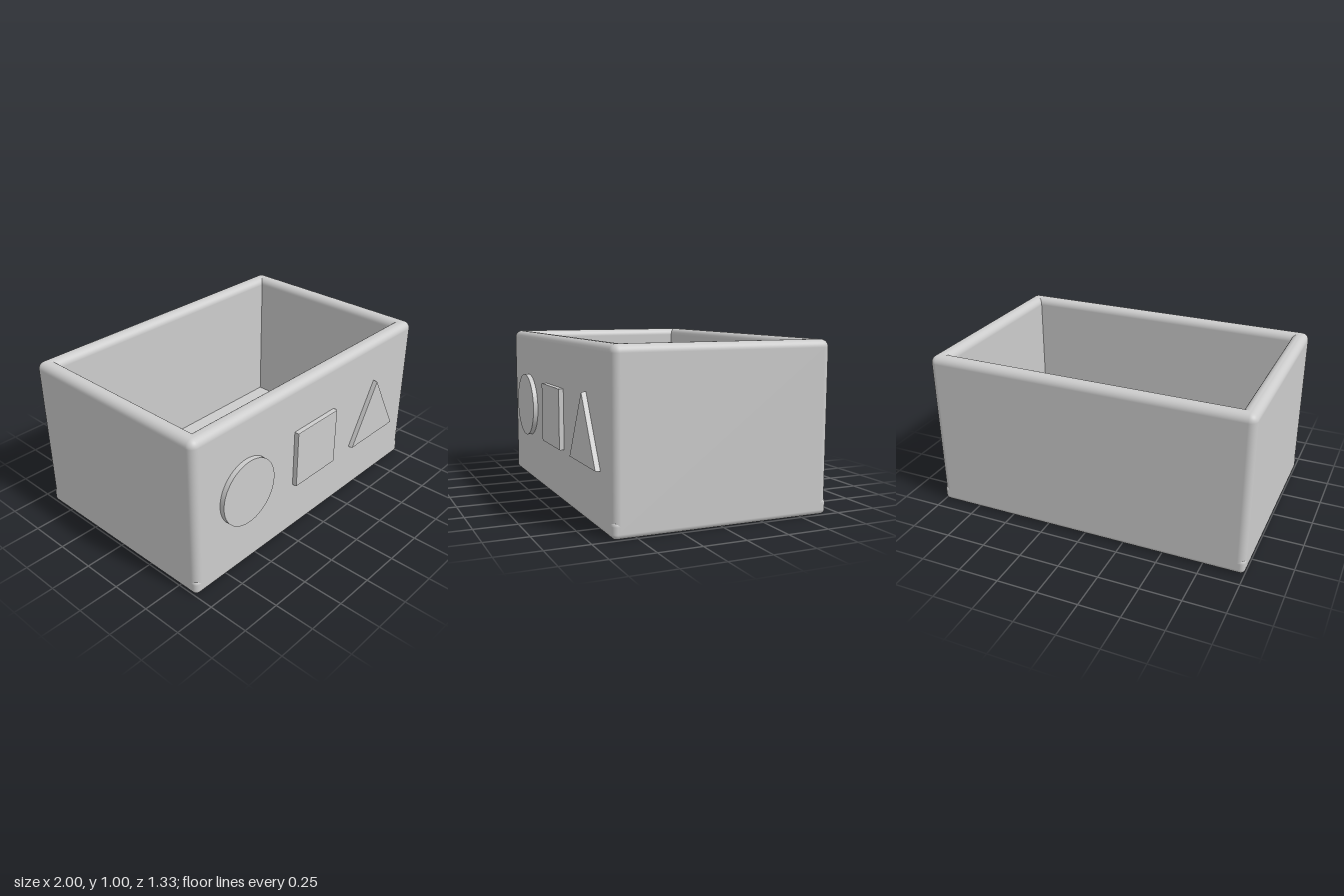
import * as THREE from 'three';
import { RoundedBoxGeometry } from 'three/addons/geometries/RoundedBoxGeometry.js';

export function createModel() {
  const group = new THREE.Group();
  const grey = new THREE.MeshStandardMaterial({ color: 0xcccccc });
  grey.name = 'light grey';

  const add = (name, geometry, x, y, z) => {
    const mesh = new THREE.Mesh(geometry, grey);
    mesh.name = name;
    mesh.position.set(x, y, z);
    group.add(mesh);
  };

  const back = -0.667, front = 0.637, depth = front - back;
  const midZ = (front + back) / 2, wall = 0.1, radius = 0.045;

  // Floor, with slightly tighter corners than the walls
  add('floor', new RoundedBoxGeometry(2, 0.1, depth, 4, 0.03), 0, 0.05, midZ);

  // Four full-height rounded walls that overlap at the corners
  for (const [name, z] of [['frontWall', front - wall / 2], ['backWall', back + wall / 2]])
    add(name, new RoundedBoxGeometry(2, 1, wall, 5, radius), 0, 0.5, z);
  for (const [name, side] of [['leftWall', 1], ['rightWall', -1]])
    add(name, new RoundedBoxGeometry(wall, 1, depth, 5, radius), side * (1 - wall / 2), 0.5, midZ);

  // Raised shapes on the front wall, sunk a little into it
  const sunk = 0.01, raised = 0.03, bevel = 0.005;
  const plate = (points) => new THREE.ExtrudeGeometry(
    new THREE.Shape(points.map(([x, y]) => new THREE.Vector2(x, y))),
    { depth: raised + sunk - bevel, bevelThickness: bevel, bevelSize: bevel, bevelOffset: -bevel, bevelSegments: 2 });

  const disc = new THREE.CylinderGeometry(0.206, 0.206, raised + sunk, 64).rotateX(Math.PI / 2);
  add('circleRelief', disc, -0.6, 0.512, front + (raised - sunk) / 2);

  const h = 0.184;
  add('squareRelief', plate([[-h, -h], [h, -h], [h, h], [-h, h]]), -0.002, 0.513, front - sunk);
  add('triangleRelief', plate([[-0.221, 0], [0.221, 0], [0, 0.395]]), 0.6, 0.329, front - sunk);

  return group;
}
